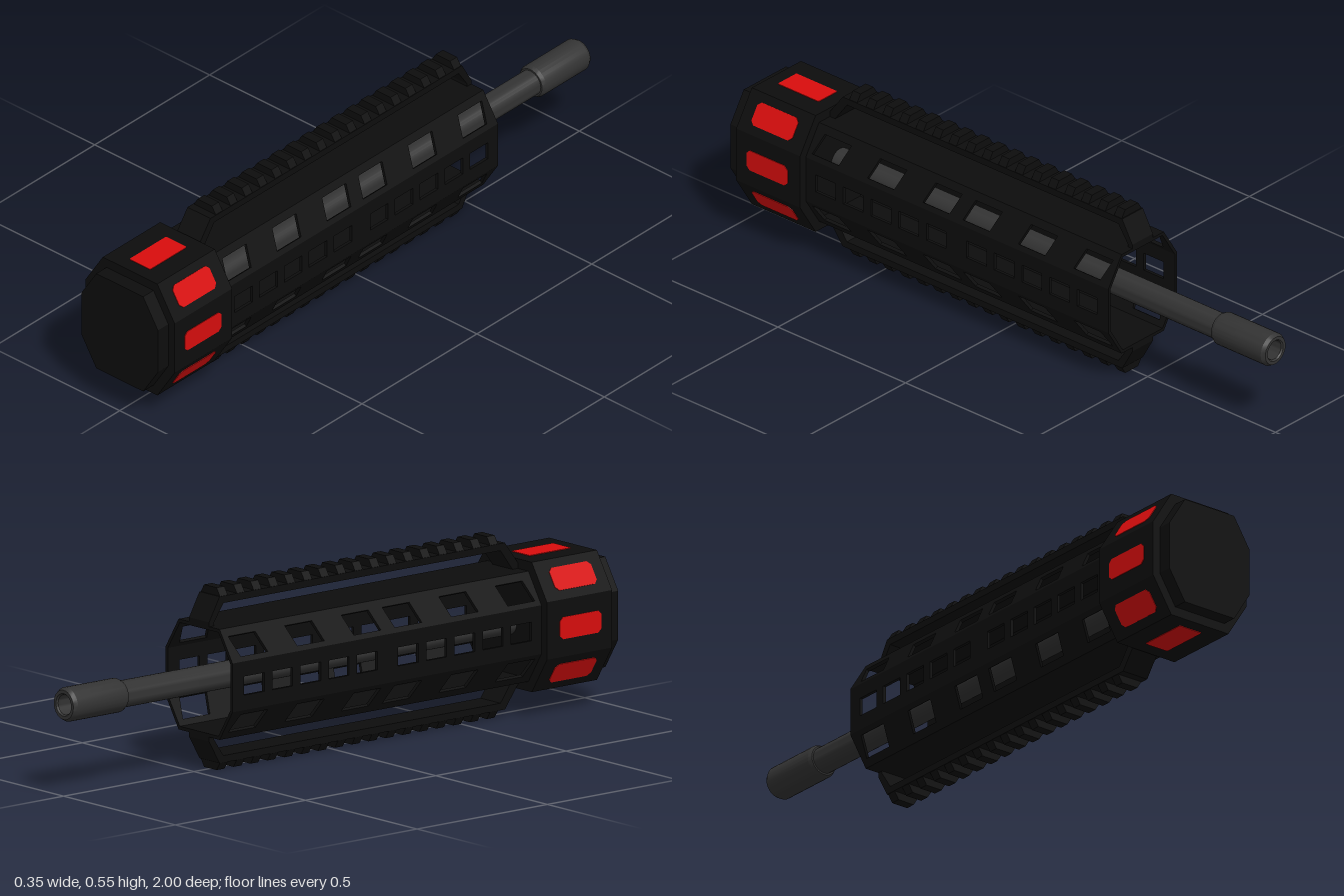
import * as THREE from 'three';
import { toCreasedNormals } from 'three/addons/utils/BufferGeometryUtils.js';

const CENTER_Y = 0.2725;

const black = new THREE.MeshStandardMaterial({ color: 0x0d0d0d });
black.name = 'black';
const grey = new THREE.MeshStandardMaterial({ color: 0x333333 });
grey.name = 'barrel grey';
const red = new THREE.MeshStandardMaterial({ color: 0xd80d0d });
red.name = 'panel red';

function mesh(name, geometry, material) {
  const m = new THREE.Mesh(geometry, material);
  m.name = name;
  return m;
}

function polygon(points, Type = THREE.Shape) {
  return new Type(points.map(([x, y]) => new THREE.Vector2(x, y)));
}

function extrude(shape, depth) {
  return new THREE.ExtrudeGeometry(shape, { depth, bevelEnabled: false });
}

// Counter-clockwise corners of the tall octagon: outer half width/height, shoulder half width/height
function octagon(w, h, cw, ch) {
  return [[w, -ch], [w, ch], [cw, h], [-cw, h], [-w, ch], [-w, -ch], [-cw, -h], [cw, -h]];
}

const COLLAR = octagon(0.175, 0.194, 0.107, 0.086);
const GUARD = octagon(0.15, 0.165, 0.092, 0.073);

// Calls back for each octagon side with its length, kind and a frame: x along the side, y along +z, z outward
function eachSide(corners, callback) {
  corners.forEach((a, i) => {
    const b = corners[(i + 1) % corners.length];
    const dx = b[0] - a[0], dy = b[1] - a[1], length = Math.hypot(dx, dy);
    const frame = new THREE.Matrix4().makeBasis(
      new THREE.Vector3(dx / length, dy / length, 0),
      new THREE.Vector3(0, 0, 1),
      new THREE.Vector3(dy / length, -dx / length, 0));
    frame.setPosition((a[0] + b[0]) / 2, (a[1] + b[1]) / 2, 0);
    const kind = Math.abs(dx) < 1e-6 ? 'side' : Math.abs(dy) < 1e-6 ? 'flat' : 'diagonal';
    const outward = Math.abs(b[0]) > Math.abs(a[0]) ? 1 : -1;
    callback({ length, frame, kind, outward });
  });
}

// Two groups of five evenly spaced window stations
const STATIONS = [0.628, 0.037].flatMap(start => [0, 1, 2, 3, 4].map(i => start - i * 0.1085));

// Hollow handguard: eight thin walls with windows cut out
function makeHandguard() {
  const group = new THREE.Group();
  group.name = 'handguard';
  const thickness = 0.01;
  eachSide(GUARD, ({ length, frame, kind, outward }) => {
    const l = length / 2;
    const wall = polygon([[-l, -0.48], [l, -0.48], [l, 0.715], [-l, 0.715]]);
    STATIONS.forEach((z, i) => {
      if (kind === 'side') {
        wall.holes.push(polygon([[-0.028, z - 0.039], [-0.028, z + 0.039],
          [0.028, z + 0.039], [0.028, z - 0.039]], THREE.Path));
      } else if (kind === 'diagonal' && i % 5 % 2 === 0) {
        // slanted windows at every second station
        const inner = -0.029 * outward, outer = 0.038 * outward;
        wall.holes.push(polygon([[inner, z - 0.062], [inner, z + 0.042],
          [outer, z + 0.06], [outer, z - 0.044]], THREE.Path));
      }
    });
    const geometry = extrude(wall, thickness).translate(0, 0, -thickness).applyMatrix4(frame);
    group.add(mesh(kind + 'Wall', geometry, black));
  });
  return group;
}

// Front collar, its cap and the coloured panels on every face
function makeCollar() {
  const group = new THREE.Group();
  group.name = 'collar';
  group.add(mesh('collarBody', extrude(polygon(COLLAR), 0.25).translate(0, 0, 0.705), black));
  group.add(mesh('frontCap', extrude(polygon(GUARD), 0.05).translate(0, 0, 0.95), black));
  eachSide(COLLAR, ({ frame, kind }) => {
    const w = kind === 'flat' ? 0.041 : kind === 'side' ? 0.033 : 0.036;
    const h = 0.08, c = kind === 'flat' ? 0.003 : 0.012;
    const panel = polygon([[w, c - h], [w, h - c], [w - c, h], [c - w, h],
      [-w, h - c], [-w, c - h], [c - w, -h], [w - c, -h]]);
    const geometry = extrude(panel, 0.004).translate(0, 0.833, -0.002).applyMatrix4(frame);
    group.add(mesh('redPanel', geometry, red));
  });
  return group;
}

// Raised rail: bar with sloping legs, and a row of chamfered teeth
function makeRail(name) {
  const group = new THREE.Group();
  group.name = name;
  const bar = polygon([[0.71, 0.16], [0.71, 0.175], [0.655, 0.249], [-0.44, 0.249],
    [-0.48, 0.178], [-0.48, 0.16], [-0.462, 0.16], [-0.462, 0.174],
    [-0.425, 0.228], [0.638, 0.228], [0.688, 0.16]]);
  group.add(mesh('railBar', extrude(bar, 0.09).translate(0, 0, -0.045).rotateY(-Math.PI / 2), black));
  const tooth = extrude(polygon([[-0.045, 0.235], [0.045, 0.235], [0.045, 0.246],
    [0.028, 0.2725], [-0.028, 0.2725], [-0.045, 0.246]]), 0.03);
  for (let i = 0; i < 17; i++) {
    const t = mesh('railTooth', tooth, black);
    t.position.z = 0.6 - i * 0.0648;
    group.add(t);
  }
  return group;
}

// Round barrel with a thicker, bored end
function makeBarrel() {
  const profile = [[0, -0.93], [0.03, -0.93], [0.03, -0.995], [0.034, -1], [0.044, -1],
    [0.051, -0.988], [0.051, -0.8], [0.045, -0.788], [0.04, -0.788], [0.04, 0.72]];
  const lathe = new THREE.LatheGeometry(profile.map(([r, z]) => new THREE.Vector2(r, z)), 28);
  return mesh('barrel', toCreasedNormals(lathe.rotateX(Math.PI / 2), 0.5), grey);
}

export function createModel() {
  const model = new THREE.Group();
  model.name = 'handguardAssembly';
  const lowerRail = makeRail('lowerRail');
  lowerRail.rotation.z = Math.PI;
  const parts = [makeCollar(), makeHandguard(), makeRail('upperRail'), lowerRail, makeBarrel()];
  for (const part of parts) {
    part.position.y = CENTER_Y;
    model.add(part);
  }
  return model;
}
